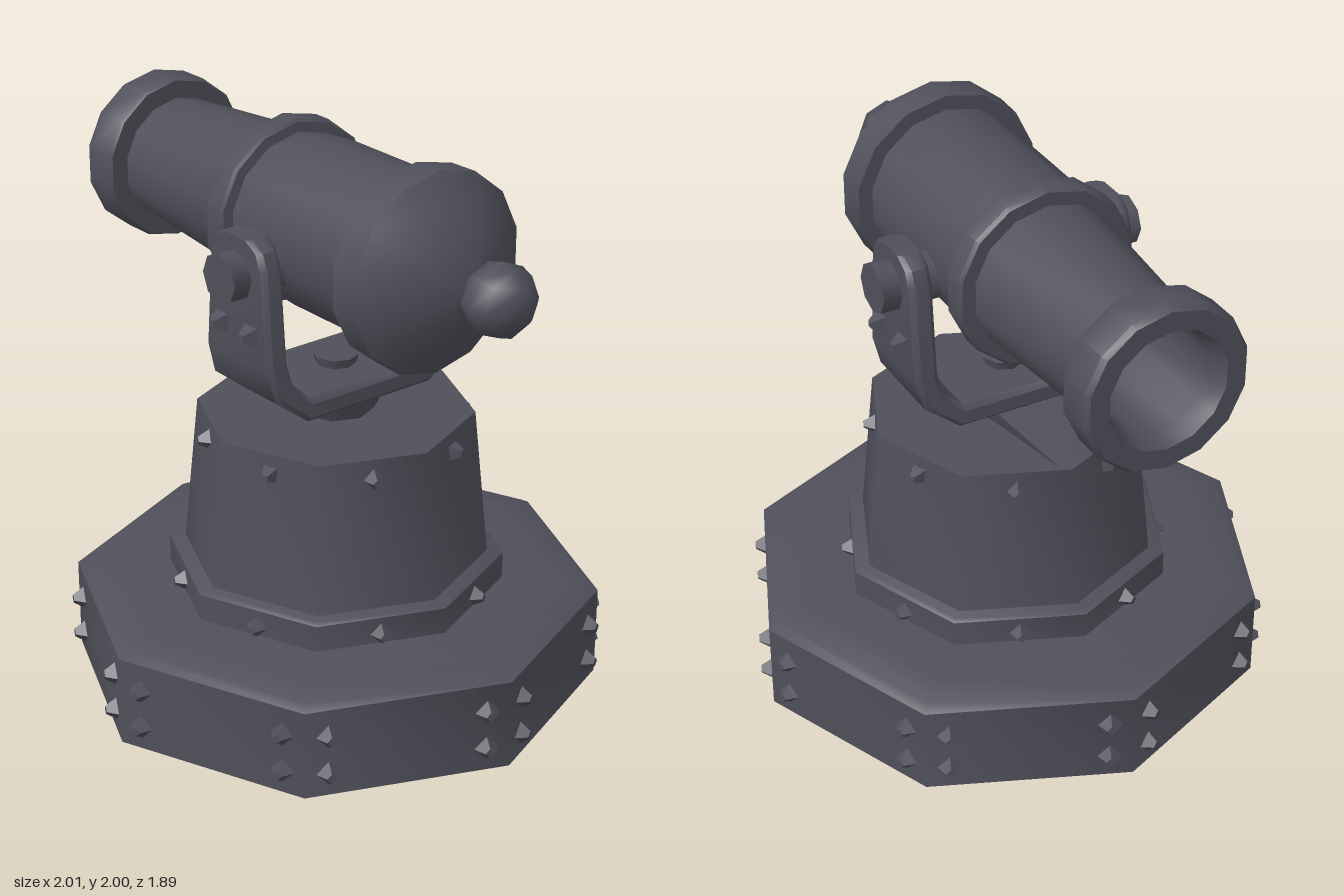
import * as THREE from 'three';
import { toCreasedNormals } from 'three/addons/utils/BufferGeometryUtils.js';
import { ConvexGeometry } from 'three/addons/geometries/ConvexGeometry.js';

const CX = 0.065;       // x of the vertical turning axis
const AXIS_Y = 1.655;   // height of the barrel axis
const EIGHTH = Math.PI / 4;

export function createModel() {
  const model = new THREE.Group();
  const iron = new THREE.MeshStandardMaterial({ color: 0x50505b });
  iron.name = 'dark iron';

  function add(name, geometry, crease = 0.9, parent = model) {
    const mesh = new THREE.Mesh(toCreasedNormals(geometry, crease), iron);
    mesh.name = name;
    parent.add(mesh);
    return mesh;
  }
  const lathe = (profile, sides, start = 0) =>
    new THREE.LatheGeometry(profile.map(([r, h]) => new THREE.Vector2(r, h)), sides, start);

  // Octagonal pedestal: plinth, step and tapered drum
  const tiers = {
    plinth: [[0, 0], [0.935, 0], [0.935, 0.325], [0.9, 0.345], [0.78, 0.36], [0, 0.36]],
    step: [[0, 0.34], [0.595, 0.34], [0.595, 0.455], [0.58, 0.465], [0, 0.465]],
    drum: [[0, 0.45], [0.54, 0.45], [0.485, 1.0], [0, 1.0]],
  };
  for (const [name, profile] of Object.entries(tiers)) {
    add(name, lathe(profile, 8)).position.x = CX;
  }

  // Flared neck, its sloping wedge and the bolt in the yoke
  add('neck', lathe([[0, 0.98], [0.125, 0.98], [0.18, 1.09], [0, 1.09]], 8)).position.x = CX;
  add('neckWedge', new ConvexGeometry([
    [-0.4, 1, 0.03], [-0.4, 1, -0.03], [0.1, 1, 0.12], [0.1, 1, -0.12],
    [-0.07, 1.08, 0.12], [-0.07, 1.08, -0.12], [0.1, 1.08, 0.12], [0.1, 1.08, -0.12],
  ].map((p) => new THREE.Vector3(...p))), 0.3);
  add('yokeBolt', lathe([[0, 1.13], [0.06, 1.13], [0.08, 1.2], [0, 1.2]], 8)).position.x = CX;

  // Pyramid studs, tip pointing along +z
  function stud(name, parent, x, y, z, size, spin) {
    const geometry = new THREE.CylinderGeometry(size * 0.35, size, 0.045, 4);
    geometry.rotateX(Math.PI / 2).rotateZ(spin);
    add(name, geometry, 0.4, parent).position.set(x, y, z + 0.015);
  }
  for (let k = 0; k < 8; k++) {
    const side = new THREE.Group();
    side.name = 'studdedSide';
    side.position.x = CX;
    side.rotation.y = (k + 0.5) * EIGHTH;
    for (const offset of [-0.275, 0.275]) {
      for (const y of [0.085, 0.225]) stud('plinthStud', side, offset, y, 0.864, 0.048, 0);
    }
    stud('stepStud', side, 0, 0.395, 0.55, 0.042, 0);
    stud('drumStud', side, 0, 0.93, 0.455, 0.04, k % 2 ? 0 : EIGHTH);
    model.add(side);
  }

  // U-shaped yoke: stations of z, y and half width, mirrored across z
  const half = [
    [0.38, 1.73, 0.07], [0.38, 1.7, 0.125], [0.38, 1.64, 0.15], [0.38, 1.3, 0.178],
    [0.355, 1.205, 0.187], [0.26, 1.125, 0.2],
  ];
  const stations = [...half, ...half.map(([z, y, w]) => [-z, y, w]).reverse()];
  add('yoke', sweepYoke(stations, 0.042, 0.018), 0.65).position.x = CX;

  // Trunnions and cheek studs on both sides
  for (const turn of [0, Math.PI]) {
    const cheek = new THREE.Group();
    cheek.name = 'cheekFittings';
    cheek.position.x = CX;
    cheek.rotation.y = turn;
    const pin = new THREE.CylinderGeometry(0.088, 0.088, 0.24, 8).rotateX(Math.PI / 2);
    add('trunnion', pin, 0.9, cheek).position.set(0, 1.595, 0.37);
    for (const x of [-0.08, 0.08]) stud('cheekStud', cheek, x, 1.405, 0.428, 0.046, EIGHTH);
    model.add(cheek);
  }

  // Barrel with open bore, muzzle ring, middle band and pointed breech
  const barrel = lathe([
    [0, -0.45], [0.175, -0.45], [0.19, -0.93], [0.215, -1], [0.285, -1], [0.298, -0.98],
    [0.298, -0.86], [0.29, -0.845], [0.225, -0.845], [0.272, -0.24],
    [0.32, -0.24], [0.33, -0.225], [0.33, -0.155], [0.32, -0.145], [0.285, -0.14],
    [0.295, 0], [0.295, 0.47], [0.347, 0.47], [0.35, 0.585],
    [0.27, 0.655], [0.17, 0.72], [0.02, 0.775], [0, 0.775],
  ], 14, Math.PI / 2).rotateZ(-Math.PI / 2);
  add('barrel', barrel, 0.65).position.y = AXIS_Y;

  // Knob behind the breech
  const knob = new THREE.SphereGeometry(0.13, 8, 6).rotateZ(Math.PI / 2).scale(0.9, 1, 1);
  add('breechKnob', knob, 1).position.set(0.883, AXIS_Y + 0.005, 0);

  return model;
}

// Sweeps a bevelled rectangle, wide in x, along a path in the z-y plane
function sweepYoke(stations, t, bevel) {
  const positions = [], index = [];
  const last = stations.length - 1;
  stations.forEach(([z, y, w], i) => {
    const a = stations[Math.max(i - 1, 0)], b = stations[Math.min(i + 1, last)];
    const length = Math.hypot(b[0] - a[0], b[1] - a[1]);
    const tz = (b[0] - a[0]) / length, ty = (b[1] - a[1]) / length;
    const c = bevel;
    const section = [
      [t, -w + c], [t, w - c], [t - c, w], [c - t, w],
      [-t, w - c], [-t, c - w], [c - t, -w], [t - c, -w],
    ];
    for (const [n, x] of section) positions.push(x, y - tz * n, z + ty * n);
  });
  for (let i = 0; i < last; i++) {
    for (let j = 0; j < 8; j++) {
      const a = i * 8 + j, b = i * 8 + (j + 1) % 8;
      index.push(a, b, b + 8, a, b + 8, a + 8);
    }
  }
  for (let j = 1; j < 7; j++) {
    index.push(0, j + 1, j, last * 8, last * 8 + j, last * 8 + j + 1);
  }
  const geometry = new THREE.BufferGeometry();
  geometry.setAttribute('position', new THREE.Float32BufferAttribute(positions, 3));
  geometry.setIndex(index);
  return geometry;
}
